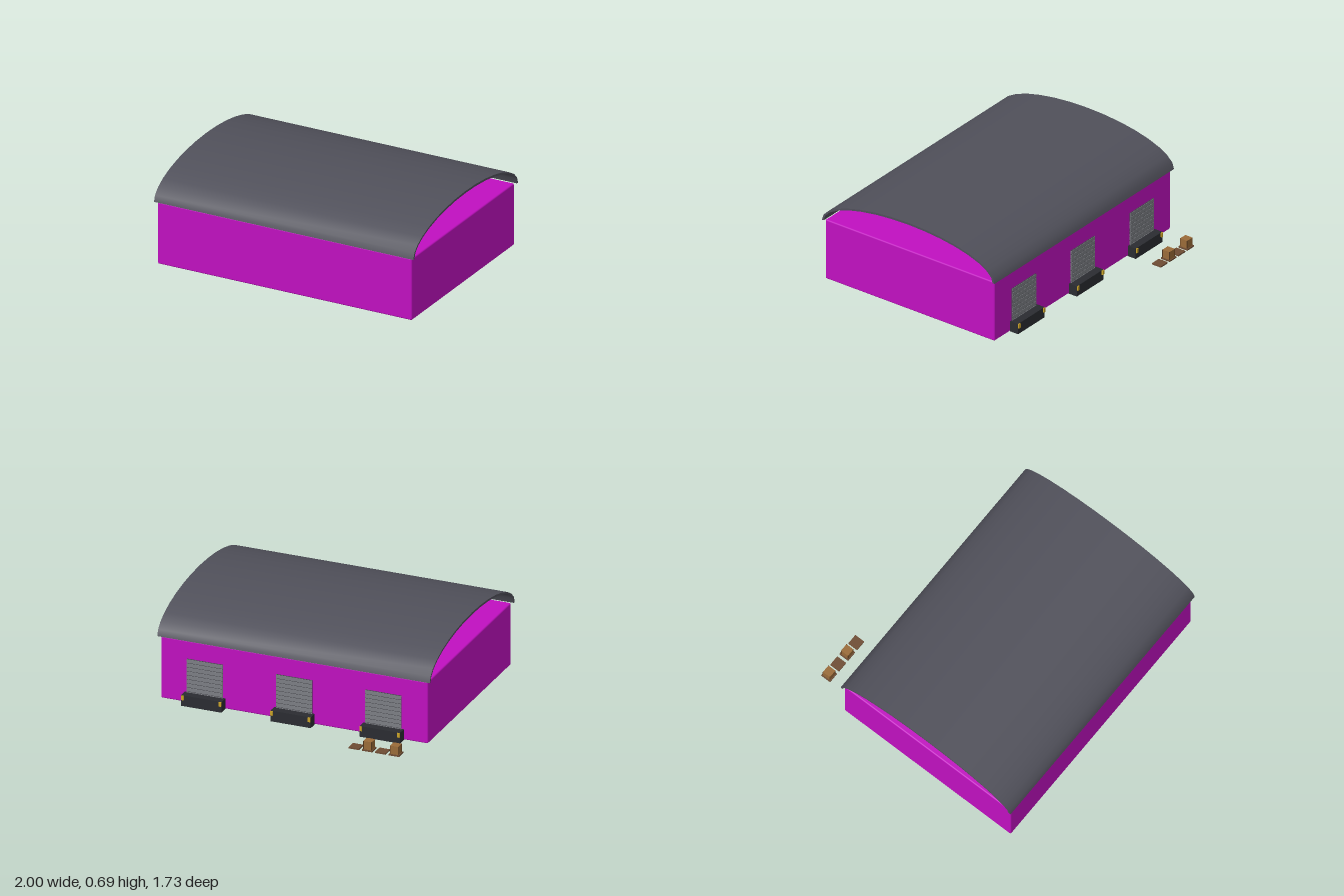
import * as THREE from 'three';
import { toCreasedNormals } from 'three/addons/utils/BufferGeometryUtils.js';
import { RoundedBoxGeometry } from 'three/addons/geometries/RoundedBoxGeometry.js';

const material = (color) => new THREE.MeshStandardMaterial({ color });
const wallMat = material(0xc010c0);
const roofMat = material(0x50505a);
const dockMat = material(0x2a2c31);
const bumperMat = material(0xc9a227);
const doorMat = material(0x7c7e84);
const grooveMat = material(0x45474c);
const palletMat = material(0x6e4c33);
const crateMat = material(0x9a6b38);
const battenMat = material(0x5f4024);

function add(parent, name, geometry, mat, x, y, z) {
  const mesh = new THREE.Mesh(geometry, mat);
  mesh.name = name;
  mesh.position.set(x, y, z);
  parent.add(mesh);
  return mesh;
}

const box = (parent, name, mat, w, h, d, x, y, z) =>
  add(parent, name, new THREE.BoxGeometry(w, h, d), mat, x, y, z);

// Thin half-ellipse shell, extruded along x
function roofGeometry() {
  const steps = 16, outer = [], inner = [];
  for (let i = 0; i <= steps; i++) {
    const a = (i / steps) * Math.PI;
    outer.push(new THREE.Vector2(0.733 * Math.cos(a), 0.225 * Math.sin(a)));
    inner.unshift(new THREE.Vector2(0.718 * Math.cos(a), 0.21 * Math.sin(a)));
  }
  const geometry = new THREE.ExtrudeGeometry(new THREE.Shape([...outer, ...inner]), {
    depth: 2, bevelEnabled: false,
  });
  geometry.translate(0, 0, -1).rotateY(Math.PI / 2);
  return toCreasedNormals(geometry, 0.8);
}

// Roller door with a loading dock and two bumpers below it
function loadingBay(x) {
  const bay = new THREE.Group();
  bay.name = 'loadingBay';
  bay.position.x = x;
  box(bay, 'doorPanel', grooveMat, 0.264, 0.27, 0.006, 0, 0.19, -0.591);
  const slats = 9, pitch = 0.27 / slats;
  for (let i = 0; i < slats; i++) {
    box(bay, 'doorSlat', doorMat, 0.264, pitch * 0.84, 0.006, 0, 0.055 + pitch * (i + 0.5), -0.594);
  }
  box(bay, 'dock', dockMat, 0.296, 0.079, 0.069, 0, 0.0395, -0.6205);
  for (const side of [-1, 1]) {
    box(bay, 'dockBumper', bumperMat, 0.018, 0.032, 0.02, side * 0.138, 0.062, -0.654);
  }
  return bay;
}

// Pallet, optionally carrying a crate with edge battens
function pallet(x, loaded) {
  const group = new THREE.Group();
  group.name = loaded ? 'loadedPallet' : 'emptyPallet';
  group.position.set(x, 0, -0.826);
  box(group, 'pallet', palletMat, 0.076, 0.01, 0.076, 0, 0.005, 0);
  if (loaded) {
    box(group, 'crate', crateMat, 0.06, 0.06, 0.06, 0, 0.04, 0);
    for (const sx of [-1, 1]) for (const sz of [-1, 1]) {
      box(group, 'crateCorner', battenMat, 0.004, 0.06, 0.004, sx * 0.029, 0.0402, sz * 0.029);
    }
  }
  return group;
}

export function createModel() {
  const model = new THREE.Group();
  model.name = 'warehouse';

  add(model, 'hall', new RoundedBoxGeometry(1.96, 0.456, 1.436, 2, 0.01), wallMat, 0, 0.23, 0.129);
  add(model, 'roof', roofGeometry(), roofMat, 0, 0.46, 0.128);

  for (const x of [-0.655, 0, 0.655]) model.add(loadingBay(x));
  for (let i = 0; i < 4; i++) model.add(pallet(-0.846 + i * 0.098, i % 2 === 0));

  return model;
}
